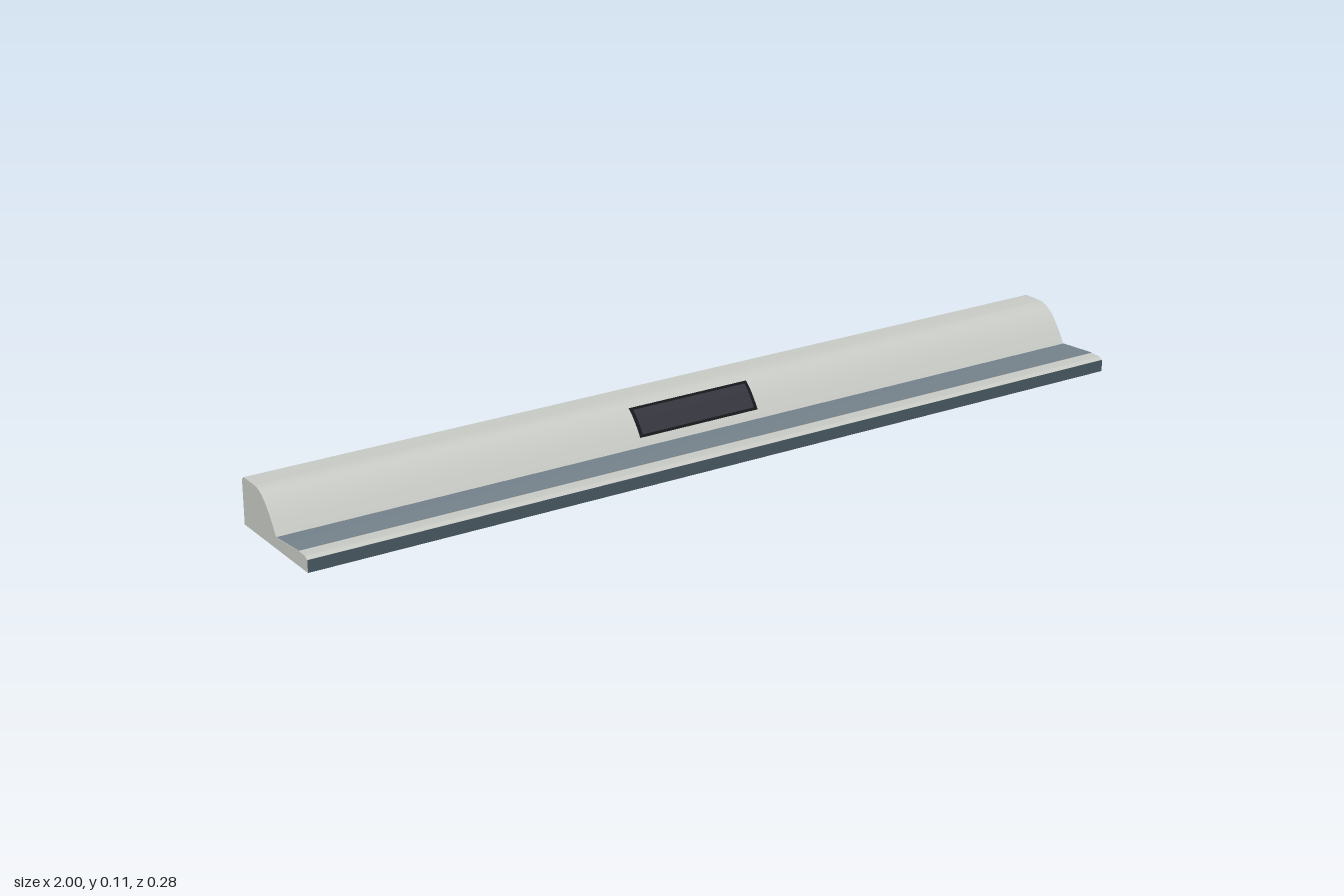
import * as THREE from 'three';
import { toCreasedNormals } from 'three/addons/utils/BufferGeometryUtils.js';

const mat = (name, color) => new THREE.MeshStandardMaterial({ name, color });

// Convex rise of the body as [z, y], from crest to valley
const rise = new THREE.CubicBezierCurve(
  new THREE.Vector2(-0.085, 0.105), new THREE.Vector2(-0.05, 0.105),
  new THREE.Vector2(-0.025, 0.075), new THREE.Vector2(0.005, 0.025));

// Point on the rise at a given height, pushed outward by d
function risePoint(y, d) {
  let a = 0, b = 1;
  for (let i = 0; i < 30; i++) {
    const m = (a + b) / 2;
    if (rise.getPoint(m).y > y) a = m; else b = m;
  }
  const p = rise.getPoint(a), t = rise.getTangent(a);
  return [p.x - t.y * d, p.y + t.x * d];
}

// Thin sheet of given width swept along a [z, y] polyline
function sheet(name, width, points, material) {
  const g = new THREE.PlaneGeometry(width, 1, 1, points.length - 1);
  const pos = g.attributes.position;
  for (let i = 0; i < pos.count; i++) {
    const [z, y] = points[i >> 1];
    pos.setXYZ(i, pos.getX(i), y, z);
  }
  g.computeVertexNormals();
  const m = new THREE.Mesh(g, material);
  m.name = name;
  return m;
}

export function createModel() {
  const group = new THREE.Group();
  group.name = 'longBar';
  const grey = mat('lightGrey', 0xc6c8c3);
  const slate = mat('slate', 0x75828b);
  const darkSlate = mat('darkSlate', 0x48565f);
  const black = mat('black', 0x17171b);
  const charcoal = mat('charcoal', 0x34343d);

  // Body: one cross-section extruded along x
  const profile = [
    [-0.14, 0], [-0.14, 0.098], [-0.132, 0.105],
    ...rise.getPoints(18).map((p) => [p.x, p.y]),
    [0.1, 0.0325], [0.132, 0.0325], [0.14, 0.027], [0.14, 0],
  ];
  const shape = new THREE.Shape(profile.map(([z, y]) => new THREE.Vector2(-z, y)));
  const bodyGeo = new THREE.ExtrudeGeometry(shape, { depth: 2, bevelEnabled: false });
  bodyGeo.translate(0, 0, -1).rotateY(Math.PI / 2);
  const body = new THREE.Mesh(toCreasedNormals(bodyGeo, 0.4), grey);
  body.name = 'body';
  group.add(body);

  // Sloping top inlay, front face and underside
  group.add(sheet('topInlay', 2, [[0.006, 0.026], [0.1, 0.0335], [0.105, 0.0335]], slate));
  group.add(sheet('frontFace', 2, [[0.1408, 0.027], [0.1408, 0]], darkSlate));
  group.add(sheet('underside', 2, [[0.14, -0.0008], [-0.14, -0.0008]], darkSlate));

  // Curved window flush with the rise
  const band = (y0, y1, d) =>
    Array.from({ length: 9 }, (_, i) => risePoint(y0 + (y1 - y0) * i / 8, d));
  group.add(sheet('windowFrame', 0.3, band(0.094, 0.042, 0.001), black));
  group.add(sheet('windowPanel', 0.284, band(0.09, 0.047, 0.002), charcoal));
  return group;
}
